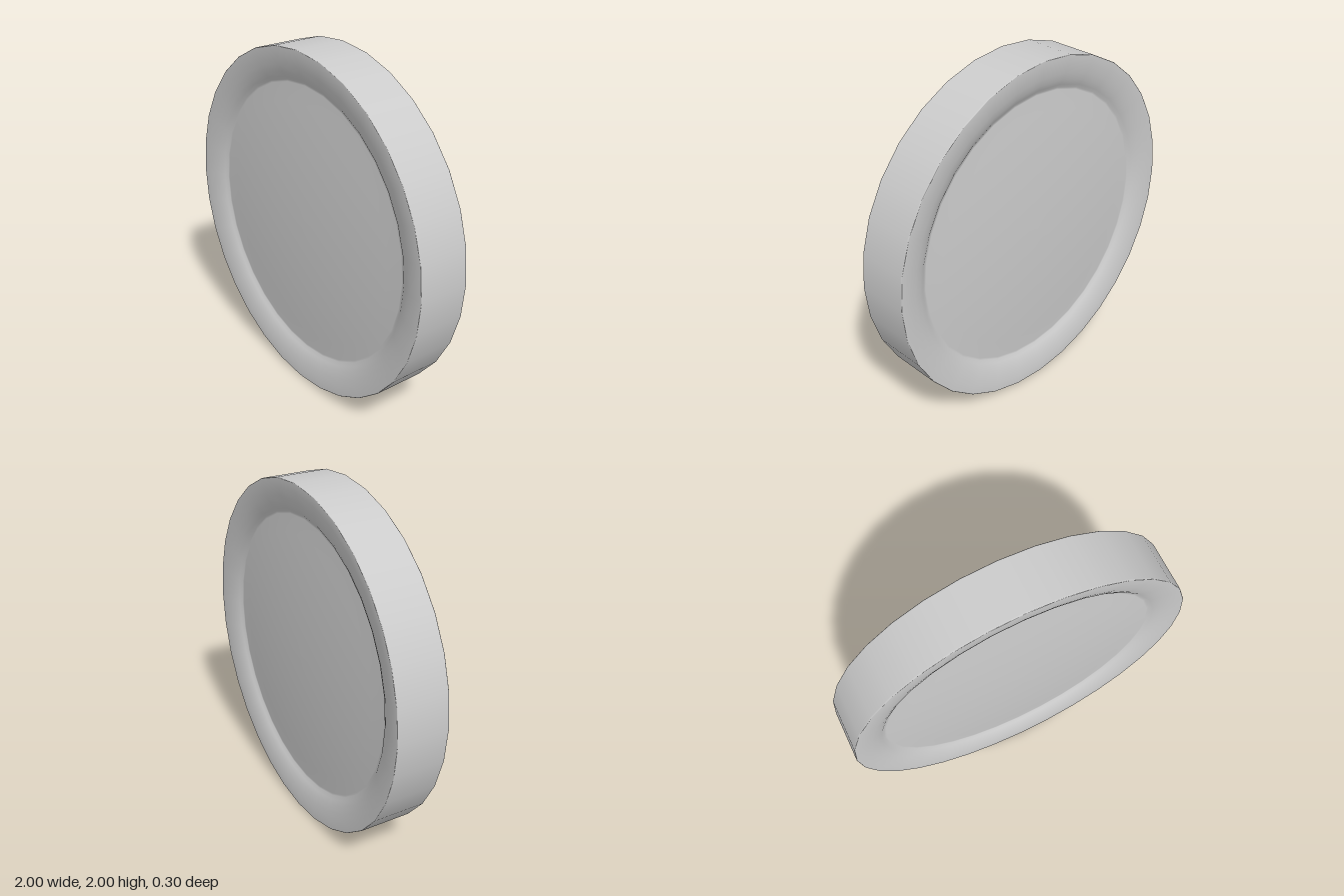
import * as THREE from 'three';

export function createModel() {
  const group = new THREE.Group();
  group.name = 'dishedDisc';

  // Half profile (radius, depth): shallow domed centre, then a rounded rim rising to a sharp edge
  const half = [];
  for (let i = 0; i <= 8; i++) {
    const r = 0.1 * i;
    half.push([r, 0.095 + 0.035 * (1 - (r / 0.81) ** 2)]);
  }
  half.push(
    [0.812, 0.097], [0.83, 0.11], [0.86, 0.124], [0.9, 0.137],
    [0.95, 0.146], [0.997, 0.15], [1, 0.147], [1, 0.14],
  );
  const back = half.map(([r, z]) => new THREE.Vector2(r, -z));
  const front = half.map(([r, z]) => new THREE.Vector2(r, z)).reverse();

  // Turned disc, the same on both faces, standing on its edge
  const geometry = new THREE.LatheGeometry([...back, ...front], 32);
  geometry.rotateX(Math.PI / 2);

  const disc = new THREE.Mesh(geometry, new THREE.MeshStandardMaterial({ color: 0xcccccc }));
  disc.name = 'disc';
  disc.position.y = 1;
  group.add(disc);
  return group;
}
